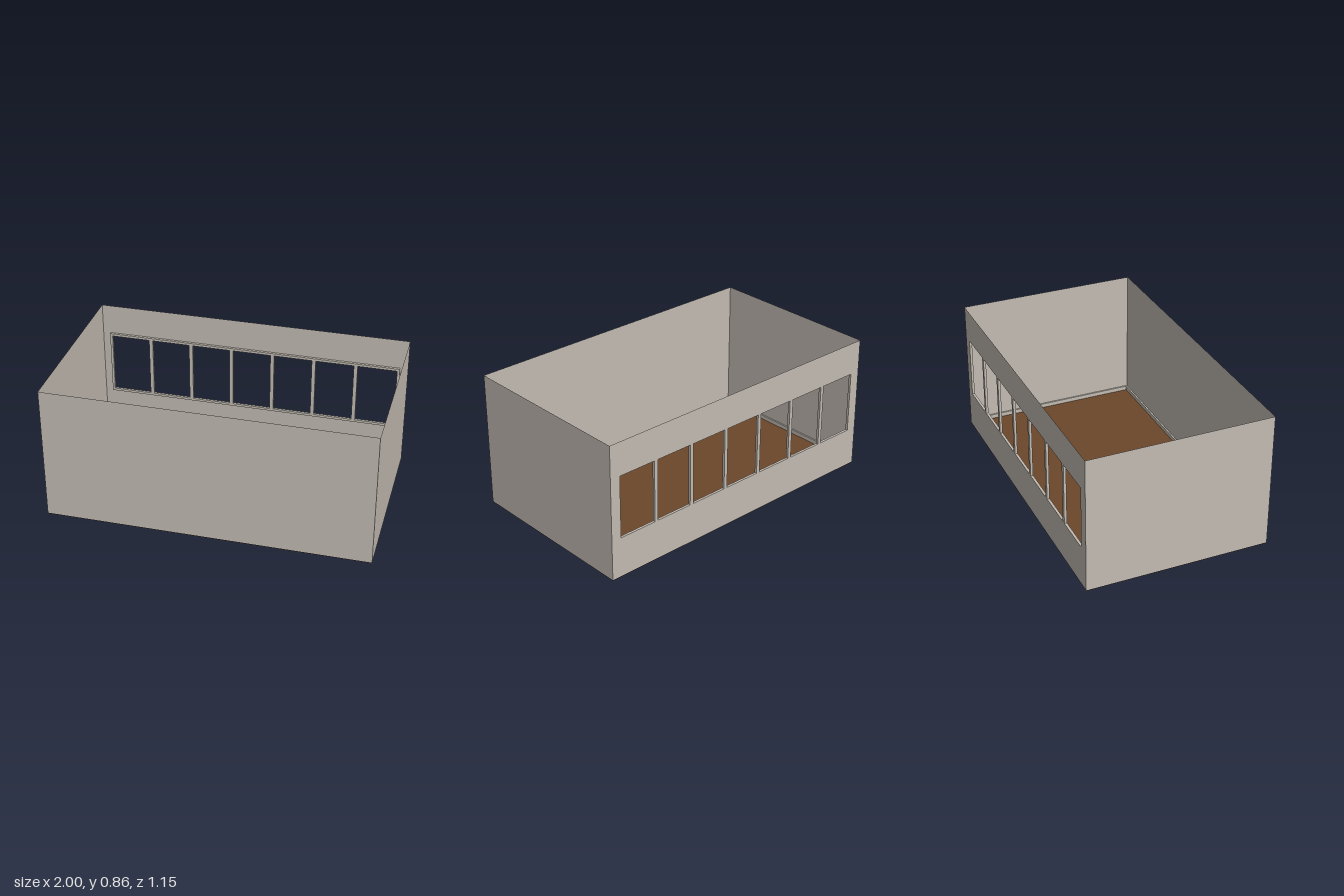
import * as THREE from 'three';

const W = 2, D = 1.146, H = 0.86;          // room size
const BASE = 0.004;                        // floor thickness
const WIN = { x0: -0.95, x1: 0.95, y0: 0.24, y1: 0.665, panes: 7 };

export function createModel() {
  const room = new THREE.Group();
  room.name = 'room';

  const plaster = new THREE.MeshStandardMaterial({ color: 0xc2bbb2, side: THREE.DoubleSide });
  plaster.name = 'warm grey plaster';
  const wood = new THREE.MeshStandardMaterial({ color: 0x6b472b });
  wood.name = 'brown wood';

  const add = (parent, name, geometry, material, x = 0, y = 0, z = 0, turn = 0) => {
    const mesh = new THREE.Mesh(geometry, material);
    mesh.name = name;
    mesh.position.set(x, y, z);
    mesh.rotation.y = turn;
    parent.add(mesh);
    return mesh;
  };
  const box = (w, h, d) => new THREE.BoxGeometry(w, h, d);

  // Floor slab
  add(room, 'floor', box(W - 0.002, BASE, D - 0.002), wood, 0, BASE / 2, 0);

  // Thin sheet walls, the back one with a wide window opening
  const wallShape = (width, hole) => {
    const s = new THREE.Shape();
    s.moveTo(-width / 2, BASE).lineTo(width / 2, BASE).lineTo(width / 2, H).lineTo(-width / 2, H).closePath();
    if (hole) {
      const p = new THREE.Path();
      p.moveTo(hole.x0, hole.y0).lineTo(hole.x0, hole.y1).lineTo(hole.x1, hole.y1).lineTo(hole.x1, hole.y0).closePath();
      s.holes.push(p);
    }
    return new THREE.ShapeGeometry(s);
  };
  add(room, 'frontWall', wallShape(W), plaster, 0, 0, D / 2);
  add(room, 'backWall', wallShape(W, WIN), plaster, 0, 0, -D / 2, Math.PI);
  for (const side of [-1, 1]) {
    add(room, side > 0 ? 'leftWall' : 'rightWall', wallShape(D), plaster, side * W / 2, 0, 0, side * Math.PI / 2);
  }

  // Baseboards along the inside of every wall
  const bh = 0.027, bt = 0.01, by = BASE + bh / 2;
  for (const side of [-1, 1]) {
    add(room, 'longBaseboard', box(W - 0.002, bh, bt), plaster, 0, by, side * (D / 2 - bt / 2 - 0.0005));
    add(room, 'shortBaseboard', box(bt, bh, D - 0.022), plaster, side * (W / 2 - bt / 2 - 0.0005), by, 0);
  }

  // Window frame: sill, head, and evenly spaced posts
  const frame = new THREE.Group();
  frame.name = 'windowFrame';
  room.add(frame);
  const bar = 0.016, depth = 0.016, fz = -D / 2 + depth / 2;
  const ww = WIN.x1 - WIN.x0, wh = WIN.y1 - WIN.y0, wy = (WIN.y0 + WIN.y1) / 2;
  add(frame, 'windowSill', box(ww, bar, depth), plaster, 0, WIN.y0 + bar / 2, fz);
  add(frame, 'windowHead', box(ww, bar, depth), plaster, 0, WIN.y1 - bar / 2, fz);
  for (let i = 0; i <= WIN.panes; i++) {
    const edge = i === 0 || i === WIN.panes;
    const width = edge ? bar : 0.024;
    const x = WIN.x0 + bar / 2 + (ww - bar) * i / WIN.panes;
    add(frame, edge ? 'windowJamb' : 'windowMullion', box(width, wh - 2 * bar, depth), plaster, x, wy, fz);
  }
  return room;
}
